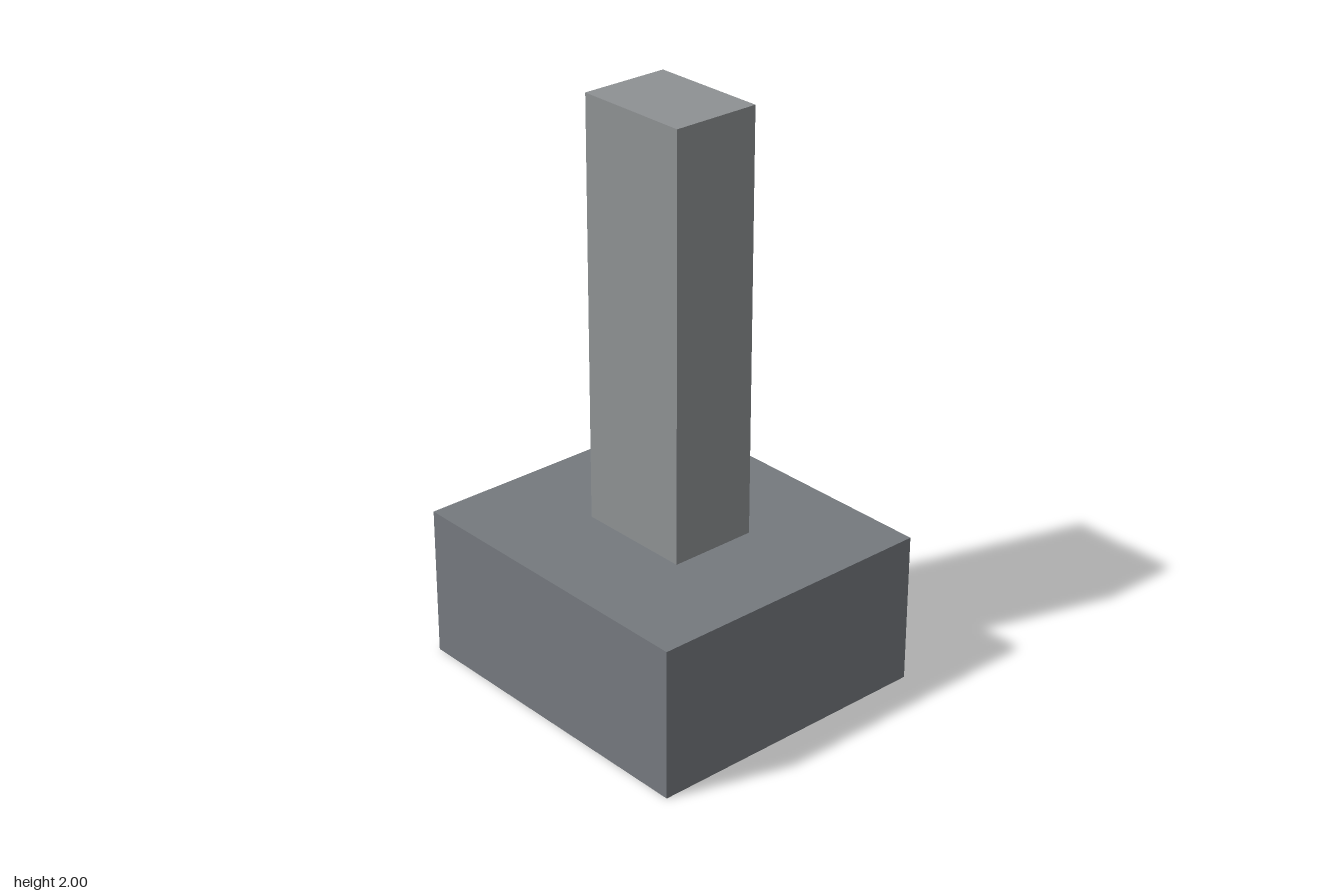
import * as THREE from 'three';

// Box standing on height y, centred on x = z = 0
function block(name, width, height, depth, y, color) {
  const mesh = new THREE.Mesh(
    new THREE.BoxGeometry(width, height, depth),
    new THREE.MeshStandardMaterial({ color })
  );
  mesh.name = name;
  mesh.position.y = y + height / 2;
  return mesh;
}

export function createModel() {
  const group = new THREE.Group();
  group.name = 'columnOnFooting';

  const baseHeight = 0.53;
  // Wide footing block
  group.add(block('base', 1.16, baseHeight, 1.05, 0, 0x75797e));
  // Slender rectangular column
  group.add(block('column', 0.42, 2 - baseHeight, 0.314, baseHeight, 0x8e9193));

  return group;
}
